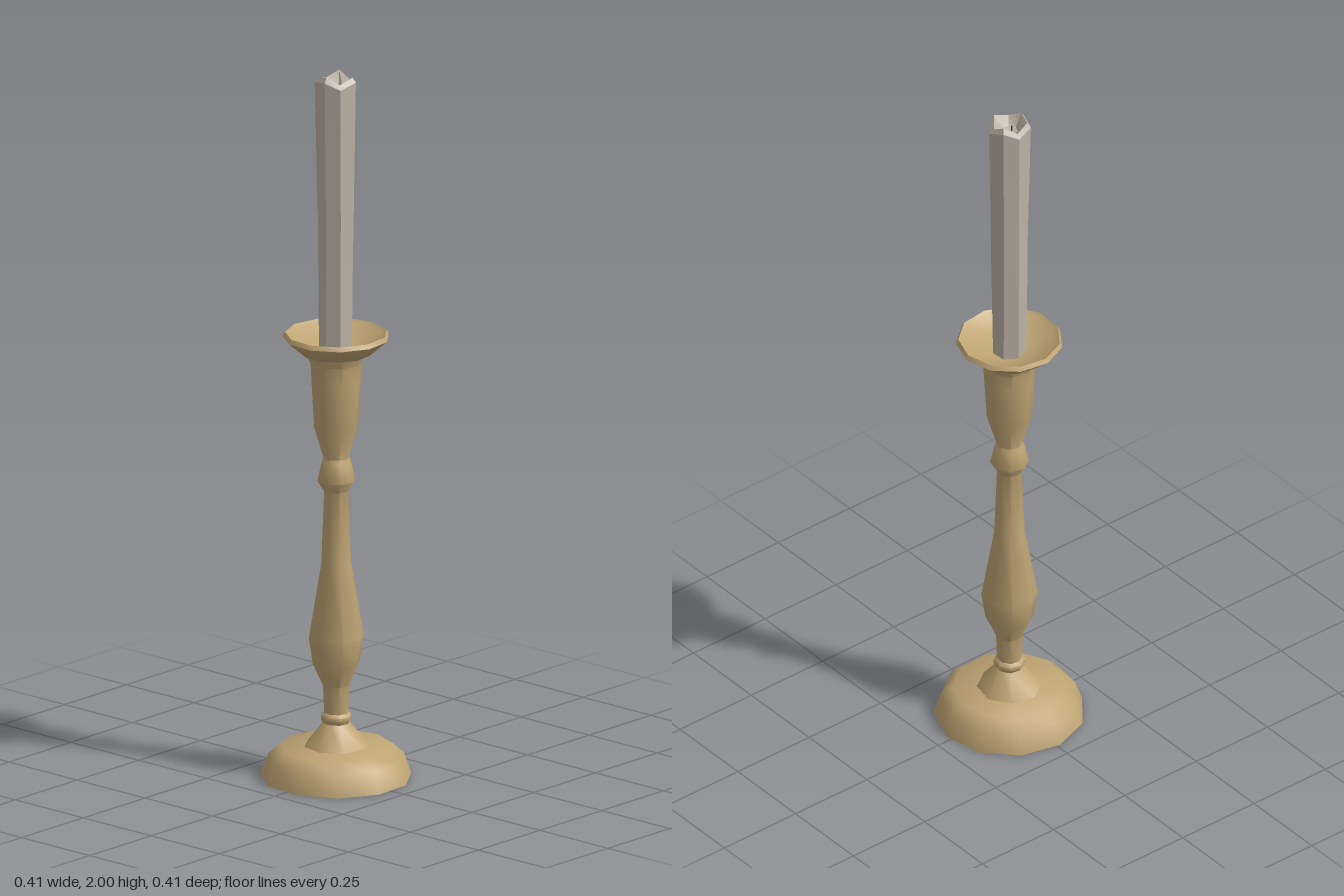
import * as THREE from 'three';
import { toCreasedNormals } from 'three/addons/utils/BufferGeometryUtils.js';

const brass = new THREE.MeshStandardMaterial({ color: 0xbfa573 });
brass.name = 'old brass';
const wax = new THREE.MeshStandardMaterial({ color: 0xbdb2a5 });
wax.name = 'pale wax';
const char = new THREE.MeshStandardMaterial({ color: 0x4a4038 });
char.name = 'charred wick';

// Turned part: profile of [radius, height] from bottom to top
function turned(name, profile, sides, start, material, crease, warp) {
  const points = profile.map(([r, y]) => new THREE.Vector2(r, y));
  const geometry = new THREE.LatheGeometry(points, sides, start);
  if (warp) {
    const p = geometry.attributes.position;
    const n = profile.length;
    for (let i = 0; i < p.count; i++) {
      const [dx, dy, dz] = warp(Math.floor(i / n) % sides, i % n);
      p.setXYZ(i, p.getX(i) + dx, p.getY(i) + dy, p.getZ(i) + dz);
    }
  }
  const mesh = new THREE.Mesh(toCreasedNormals(geometry, crease), material);
  mesh.name = name;
  return mesh;
}

export function createModel() {
  const group = new THREE.Group();
  group.name = 'candlestick';

  // Round foot with a closed underside
  group.add(turned('foot', [
    [0, 0], [0.207, 0], [0.187, 0.06], [0.155, 0.088], [0, 0.094],
  ], 11, Math.PI - 0.1, brass, 0.85));

  // Slender baluster with its collar, bulb, knop and socket
  group.add(turned('stem', [
    [0.09, 0.09], [0.037, 0.155], [0.043, 0.166], [0.043, 0.176], [0.034, 0.184],
    [0.037, 0.262], [0.066, 0.325], [0.077, 0.4], [0.042, 0.61], [0.034, 0.815],
    [0.053, 0.845], [0.041, 0.9], [0.036, 0.91], [0.062, 1.0], [0.069, 1.12],
    [0.072, 1.18], [0.082, 1.205],
  ], 8, 0.2, brass, 0.82));

  // Shallow drip pan
  group.add(turned('dripPan', [
    [0.065, 1.2], [0.095, 1.207], [0.147, 1.252], [0.14, 1.264], [0.13, 1.256],
    [0.06, 1.222], [0, 1.22],
  ], 11, 0.25, brass, 0.85));

  // Candle, hollowed at the top with an uneven melted rim
  const rimRise = [0.012, -0.006, 0.008, -0.01, 0.012, -0.008, 0.004];
  group.add(turned('candle', [
    [0.047, 1.21], [0.051, 1.6], [0.057, 1.975], [0.046, 1.988], [0.022, 1.962], [0, 1.955],
  ], 7, 0.1, wax, 0.45, (side, ring) => {
    if (ring === 5 || ring === 0) return [0, 0, 0];
    const wobble = 0.002 * Math.sin(side * 2.4 + ring);
    return [wobble, ring === 2 || ring === 3 ? rimRise[side] : 0, -wobble];
  }));

  // Tiny wick stub
  const wick = new THREE.Mesh(new THREE.CylinderGeometry(0.002, 0.003, 0.02, 5), char);
  wick.name = 'wick';
  wick.position.set(0.002, 1.962, 0.01);
  group.add(wick);

  return group;
}
